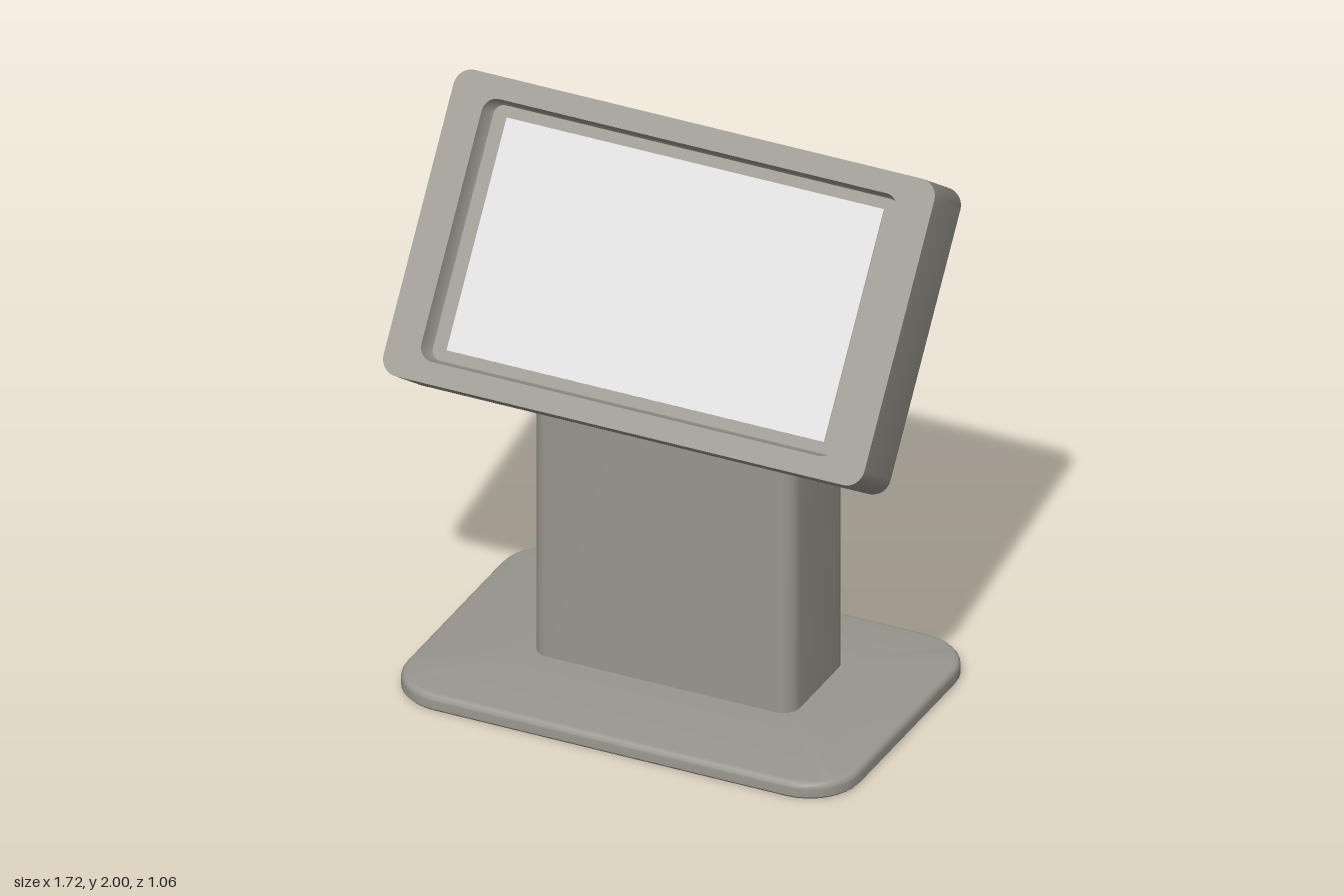
import * as THREE from 'three';
import { toCreasedNormals } from 'three/addons/utils/BufferGeometryUtils.js';

const CORNER_STEPS = 8;

// Rounded rectangle outline, counter-clockwise, as [x, y, h] points
function ring({ w, d, r = 0, h, cy = 0 }) {
  const points = [];
  const signs = [[1, 1], [-1, 1], [-1, -1], [1, -1]];
  signs.forEach(([sx, sy], corner) => {
    for (let i = 0; i <= CORNER_STEPS; i++) {
      const a = (corner + i / CORNER_STEPS) * Math.PI / 2;
      points.push([sx * (w - r) + r * Math.cos(a), cy + sy * (d - r) + r * Math.sin(a), h]);
    }
  });
  return points;
}

// Skin joining successive rounded rectangles
function loft(sections) {
  const rings = sections.map(ring);
  const n = rings[0].length;
  const index = [];
  for (let s = 0; s < rings.length - 1; s++) {
    for (let i = 0; i < n; i++) {
      const j = (i + 1) % n;
      const a = s * n + i, b = s * n + j;
      index.push(a, b, b + n, a, b + n, a + n);
    }
  }
  const geometry = new THREE.BufferGeometry();
  geometry.setAttribute('position', new THREE.Float32BufferAttribute(rings.flat(2), 3));
  geometry.setIndex(index);
  return geometry;
}

// Quarter-round edge sections; up = 1 rounds a top edge, -1 a bottom edge
function fillet(w, d, r, h, size, up) {
  const sections = [];
  for (let i = 0; i <= 5; i++) {
    const a = (up > 0 ? i : 5 - i) / 5 * Math.PI / 2;
    const inset = size * (1 - Math.cos(a));
    sections.push({ w: w - inset, d: d - inset, r: r - inset, h: h - up * size * (1 - Math.sin(a)) });
  }
  return sections;
}

export function createModel() {
  const body = new THREE.MeshStandardMaterial({ color: 0x98968d, side: THREE.DoubleSide });
  body.name = 'warmGrey';
  const glass = new THREE.MeshStandardMaterial({ color: 0xdadada });
  glass.name = 'lightScreen';

  const model = new THREE.Group();
  const add = (parent, name, geometry, material) => {
    const mesh = new THREE.Mesh(geometry, material);
    mesh.name = name;
    parent.add(mesh);
    return mesh;
  };
  const creased = (geometry) => toCreasedNormals(geometry, 0.6);

  // Foot plate, open where the hollow column passes through
  const column = { w: 0.468, d: 0.203, r: 0.06, cy: 0.057 };
  const foot = loft([
    { ...column, h: 0 },
    { w: 0.805, d: 0.523, r: 0.175, h: 0 },
    { w: 0.812, d: 0.53, r: 0.18, h: 0.008 },
    ...fillet(0.812, 0.53, 0.18, 0.058, 0.022, 1),
    { ...column, h: 0.058 },
  ]).rotateX(-Math.PI / 2);
  add(model, 'footPlate', creased(foot), body);

  // Hollow column, its top cut along the sloping back of the head
  const tube = loft([{ ...column, h: 0 }, { ...column, h: 1 }]).rotateX(-Math.PI / 2);
  const p = tube.attributes.position;
  for (let i = 0; i < p.count; i++) {
    if (p.getY(i) > 0.5) p.setY(i, 1.375 - 1.41 * p.getZ(i));
  }
  add(model, 'column', creased(tube), body);

  // Tilted head: closed back, rounded rear edge, stepped opening in front
  const head = new THREE.Group();
  head.name = 'head';
  head.position.set(0, 1.508, 0.055);
  head.rotation.x = -35 * Math.PI / 180;
  model.add(head);

  const casing = loft([
    { w: 0, d: 0, h: -0.13 },
    ...fillet(0.86, 0.51, 0.06, -0.13, 0.03, -1),
    { w: 0.86, d: 0.51, r: 0.06, h: 0.13 },
    { w: 0.742, d: 0.437, r: 0.05, h: 0.13 },
    { w: 0.735, d: 0.432, r: 0.045, h: 0.085 },
    { w: 0.725, d: 0.425, r: 0.035, h: 0.068 },
    { w: 0, d: 0, h: 0.068 },
  ]);
  add(head, 'casing', creased(casing), body);

  // Thin display panel on the recessed ledge
  add(head, 'screen', new THREE.BoxGeometry(1.35, 0.775, 0.006), glass).position.z = 0.07;

  return model;
}
